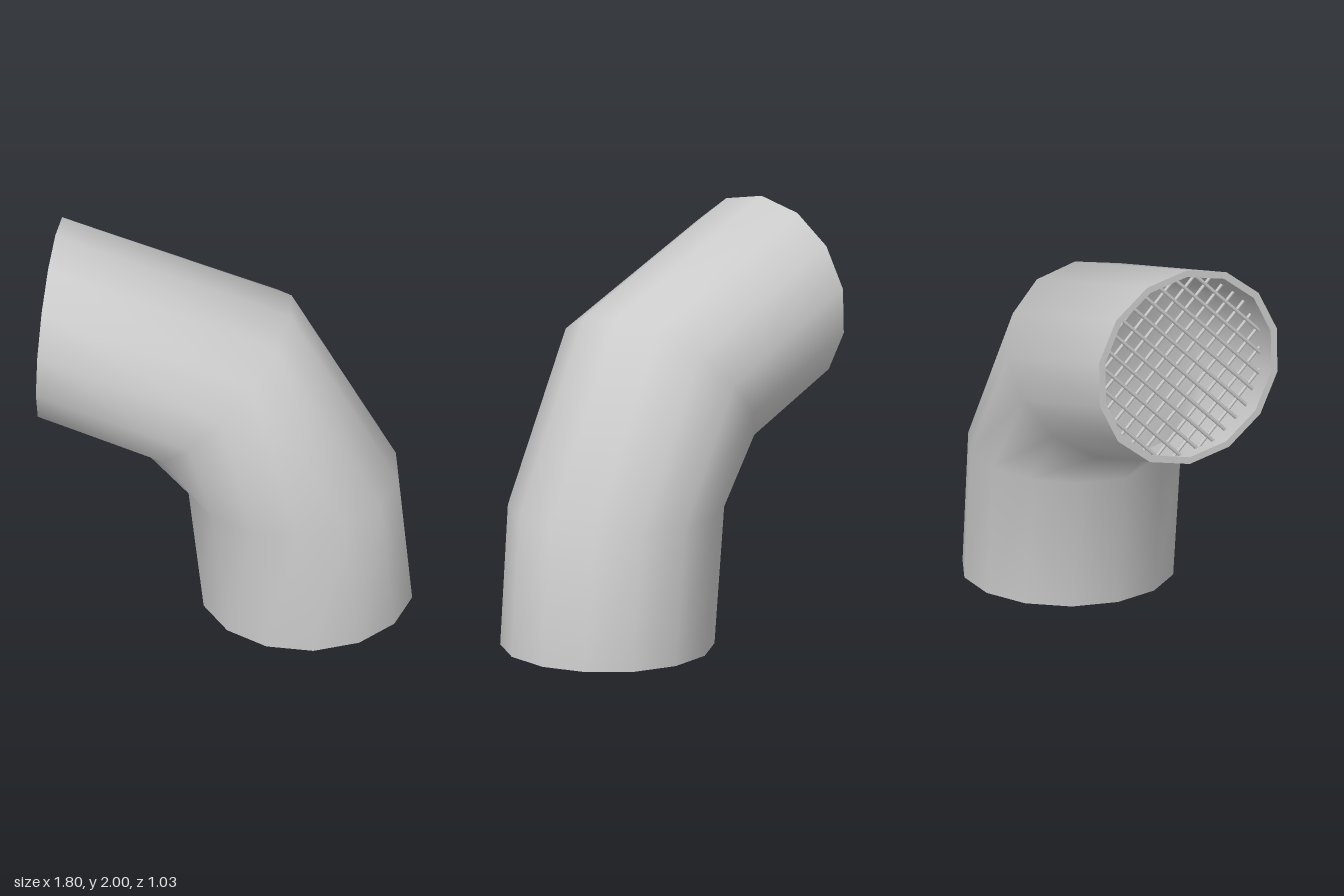
import * as THREE from 'three';

const SIDES = 14;
const WALL = 0.035;

// Pipe sections: inner-bend point and outer-bend point in the xy plane
const SECTIONS = [
  [[-0.15, 0], [0.9, 0]],
  [[-0.225, 0.675], [0.835, 0.7]],
  [[-0.4, 0.84], [0.3, 1.637]],
  [[-0.9, 0.99], [-0.87, 2.0]],
];

// One 14-sided ring across a section, shrunk by inset
function ring([a, b], inset) {
  const hx = (b[0] - a[0]) / 2, hy = (b[1] - a[1]) / 2;
  const r = Math.hypot(hx, hy), k = (r - inset) / r;
  return Array.from({ length: SIDES }, (_, j) => {
    const t = (j / SIDES) * Math.PI * 2, c = Math.cos(t) * k;
    return [(a[0] + b[0]) / 2 + hx * c, (a[1] + b[1]) / 2 + hy * c, r * k * Math.sin(t)];
  });
}

// Smooth closed skin through a list of rings
function skin(rings) {
  const index = [];
  for (let i = 0; i < rings.length - 1; i++) {
    for (let j = 0; j < SIDES; j++) {
      const n = (j + 1) % SIDES;
      const a = i * SIDES + j, b = a + SIDES, c = i * SIDES + n, d = c + SIDES;
      index.push(a, b, c, c, b, d);
    }
  }
  const geo = new THREE.BufferGeometry();
  geo.setAttribute('position', new THREE.Float32BufferAttribute(rings.flat(2), 3));
  geo.setIndex(index);
  geo.computeVertexNormals();
  return geo;
}

export function createModel() {
  const group = new THREE.Group();
  const mat = new THREE.MeshStandardMaterial({ color: 0xcccccc });
  const add = (name, geo, parent = group) => {
    const mesh = new THREE.Mesh(geo, mat);
    mesh.name = name;
    parent.add(mesh);
    return mesh;
  };

  // Elbow walls and the two flat rims joining them
  const outer = SECTIONS.map((s) => ring(s, 0));
  const inner = SECTIONS.map((s) => ring(s, WALL));
  add('outerWall', skin(outer));
  add('innerWall', skin([...inner].reverse()));
  add('outletRim', skin([outer[3], inner[3]]));
  add('baseRim', skin([inner[0], outer[0]]));

  // Diamond wire screen set back inside the outlet
  const screen = new THREE.Group();
  screen.name = 'screen';
  screen.position.set(-0.755, 1.455, 0);
  screen.rotation.z = -0.03;
  group.add(screen);
  const R = 0.475, step = 0.08, wire = 0.009;
  for (const side of [-1, 1]) {
    for (let i = -5; i <= 5; i++) {
      const o = i * step;
      const rod = add('screenWire', new THREE.CylinderGeometry(wire, wire, 2 * Math.sqrt(R * R - o * o), 6), screen);
      rod.rotation.x = side * Math.PI / 4;
      rod.position.set(side * wire * 0.5, -side * o * Math.SQRT1_2, o * Math.SQRT1_2);
    }
  }
  return group;
}
